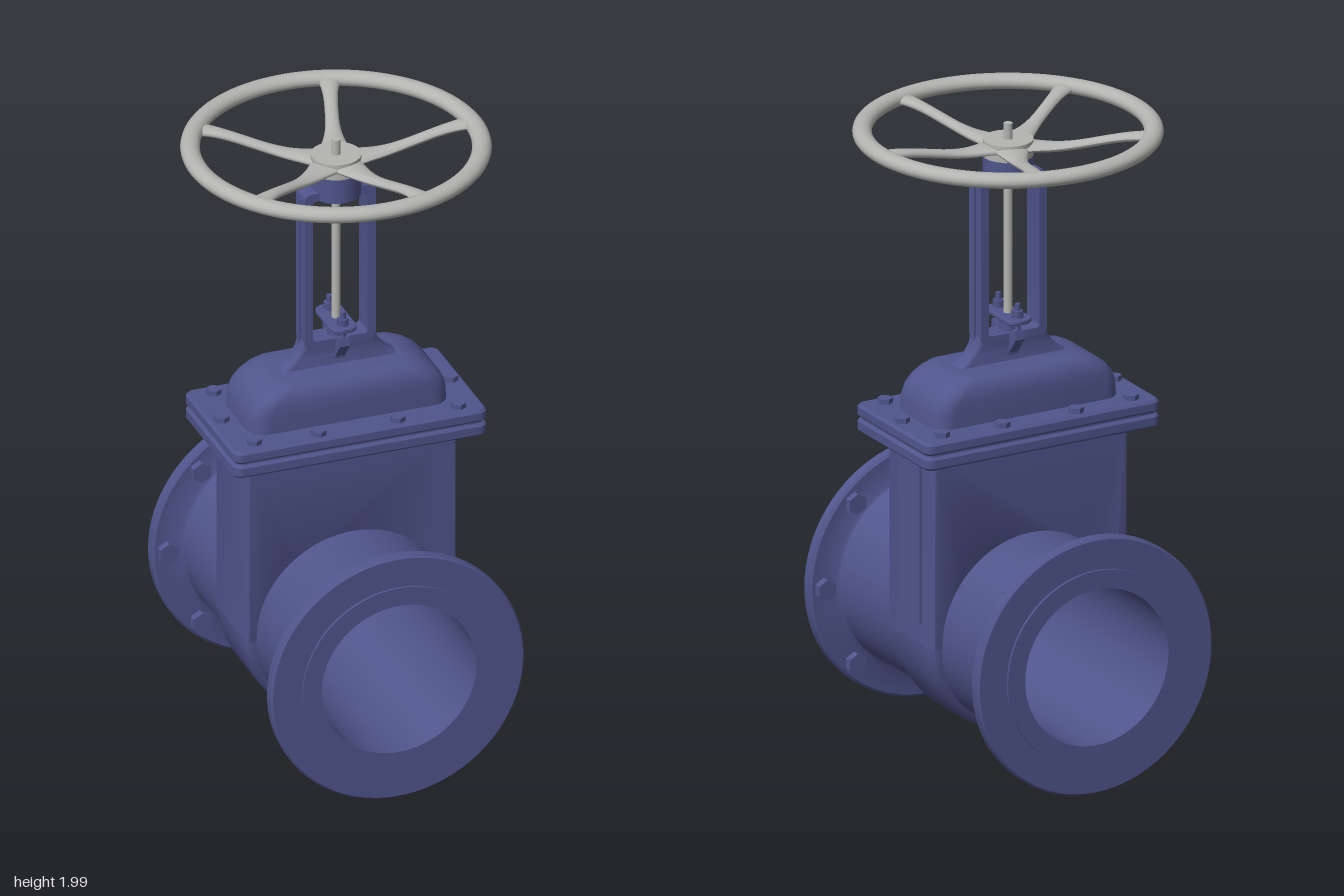
import * as THREE from 'three';
import { toCreasedNormals } from 'three/addons/utils/BufferGeometryUtils.js';

const PIPE_Y = 0.417;

// Rounded-rectangle loft; sections are [y, halfX, halfZ, cornerRadius] from bottom to top
function loft(sections) {
  const pos = [], idx = [], steps = 6, n = 4 * (steps + 1);
  for (const [y, hx, hz, r] of sections) {
    for (let c = 0; c < 4; c++) {
      for (let s = 0; s <= steps; s++) {
        const a = (c + s / steps) * Math.PI / 2;
        const sx = c === 0 || c === 3 ? 1 : -1, sz = c < 2 ? 1 : -1;
        pos.push(sx * (hx - r) + r * Math.cos(a), y, sz * (hz - r) + r * Math.sin(a));
      }
    }
  }
  for (let k = 0; k < sections.length - 1; k++) {
    for (let i = 0; i < n; i++) {
      const a = k * n + i, b = k * n + (i + 1) % n;
      idx.push(a, a + n, b, b, a + n, b + n);
    }
  }
  const top = (sections.length - 1) * n;
  for (let i = 1; i < n - 1; i++) idx.push(0, i, i + 1, top, top + i + 1, top + i);
  const g = new THREE.BufferGeometry();
  g.setAttribute('position', new THREE.Float32BufferAttribute(pos, 3));
  g.setIndex(idx);
  g.computeVertexNormals();
  return toCreasedNormals(g, 0.6);
}

// Flat plate with softened edges
function plate(y0, y1, hx, hz, r, b = 0.008) {
  return loft([[y0, hx - b, hz - b, r - b], [y0 + b, hx, hz, r], [y1 - b, hx, hz, r], [y1, hx - b, hz - b, r - b]]);
}

// Revolved profile of [radius, height] pairs
function lathe(points, segments = 64, start = 0, length = Math.PI * 2) {
  return new THREE.LatheGeometry(points.map(p => new THREE.Vector2(...p)), segments, start, length);
}

function roundedRect(path, x0, y0, x1, y1, r) {
  path.moveTo(x0 + r, y0);
  path.lineTo(x1 - r, y0).quadraticCurveTo(x1, y0, x1, y0 + r);
  path.lineTo(x1, y1 - r).quadraticCurveTo(x1, y1, x1 - r, y1);
  path.lineTo(x0 + r, y1).quadraticCurveTo(x0, y1, x0, y1 - r);
  path.lineTo(x0, y0 + r).quadraticCurveTo(x0, y0, x0 + r, y0);
  return path;
}

export function createModel() {
  const model = new THREE.Group();
  model.name = 'gateValve';
  const blue = new THREE.MeshStandardMaterial({ color: 0x50558c });
  blue.name = 'bluePaint';
  const grey = new THREE.MeshStandardMaterial({ color: 0xb4b4b2 });
  grey.name = 'greyMetal';
  const add = (name, geo, mat = blue, parent = model) => {
    const m = new THREE.Mesh(geo, mat);
    m.name = name;
    parent.add(m);
    return m;
  };
  const cyl = (r, y0, y1, seg = 32) => new THREE.CylinderGeometry(r, r, y1 - y0, seg).translate(0, (y0 + y1) / 2, 0);

  // Pipe with both end flanges, one closed profile turned about z
  const half = [[0.31, 0], [0.31, 0.465], [0.313, 0.477], [0.324, 0.484], [0.402, 0.484], [0.41, 0.491],
    [0.41, 0.52], [0.404, 0.527], [0.31, 0.527], [0.31, 0.535], [0.25, 0.535]];
  const mirrored = half.slice(1).reverse().map(([r, z]) => [r, -z]);
  const profile = [...mirrored, ...half, mirrored[0]];
  add('flangedPipe', toCreasedNormals(lathe(profile, 80).rotateX(Math.PI / 2), 0.6).translate(0, PIPE_Y, 0));

  // Hex bolts behind each pipe flange
  const flangeBolts = new THREE.Group();
  flangeBolts.name = 'flangeBolts';
  model.add(flangeBolts);
  const headGeo = new THREE.CylinderGeometry(0.033, 0.033, 0.026, 6).toNonIndexed().rotateX(Math.PI / 2);
  headGeo.computeVertexNormals();
  for (const side of [1, -1]) {
    for (let i = 0; i < 8; i++) {
      const a = i * Math.PI / 4;
      add('flangeBolt', headGeo, blue, flangeBolts)
        .position.set(0.363 * Math.cos(a), PIPE_Y + 0.363 * Math.sin(a), side * 0.473);
    }
  }

  // Upper body: slab arched over the bore
  const slab = new THREE.Shape();
  slab.moveTo(0.337, 0.4).lineTo(0.337, 1.03).lineTo(-0.337, 1.03).lineTo(-0.337, 0.4).lineTo(-0.28, 0.4);
  slab.lineTo(-0.28, PIPE_Y).absarc(0, PIPE_Y, 0.28, Math.PI, 0, true).lineTo(0.28, 0.4);
  const b = 0.01;
  const upper = new THREE.ExtrudeGeometry(slab, { depth: 0.28 - 2 * b, bevelEnabled: true, bevelSize: b,
    bevelThickness: b, bevelOffset: -b, bevelSegments: 2, curveSegments: 40 }).translate(0, 0, -0.14 + b);
  add('upperBody', toCreasedNormals(upper, 0.6));

  // Lower body: half ring whose thickness tapers towards the bottom
  const ring = [[0.28, -0.14], [0.315, -0.14], [0.329, -0.132], [0.337, -0.115],
    [0.337, 0.115], [0.329, 0.132], [0.315, 0.14], [0.28, 0.14]];
  const lower = lathe(ring, 48, -Math.PI / 2, Math.PI).rotateX(Math.PI / 2);
  const lp = lower.attributes.position;
  for (let i = 0; i < lp.count; i++) lp.setZ(i, lp.getZ(i) * (1 + 0.95 * Math.min(0, lp.getY(i))));
  add('lowerBody', toCreasedNormals(lower, 0.6).translate(0, PIPE_Y, 0));

  // Raised strip on the left side of the body
  add('sideRib', new THREE.BoxGeometry(0.02, 0.555, 0.125).translate(0.335, 0.7475, 0));

  // Body and bonnet flanges with the gasket between
  add('bodyFlange', plate(1.018, 1.06, 0.41, 0.222, 0.03));
  add('gasket', plate(1.055, 1.07, 0.4, 0.212, 0.025, 0.002));
  add('bonnetFlange', plate(1.066, 1.106, 0.41, 0.222, 0.03));

  // Bonnet bolts
  const bonnetBolts = new THREE.Group();
  bonnetBolts.name = 'bonnetBolts';
  model.add(bonnetBolts);
  const capGeo = new THREE.CylinderGeometry(0.024, 0.024, 0.018, 6).toNonIndexed();
  capGeo.computeVertexNormals();
  for (const s of [1, -1]) {
    for (const [x, z] of [[0.33, 0.172], [0.33, -0.172], [0.128, 0.188], [0.128, -0.188], [0.37, 0]]) {
      add('bonnetBolt', capGeo, blue, bonnetBolts).position.set(s * x, 1.113, z);
    }
  }

  // Bonnet dome and the neck that carries the yoke
  add('bonnet', loft([[1.1, 0.323, 0.138, 0.06], [1.155, 0.319, 0.138, 0.06], [1.185, 0.307, 0.138, 0.06],
    [1.21, 0.285, 0.136, 0.06], [1.23, 0.258, 0.128, 0.055], [1.244, 0.23, 0.117, 0.05], [1.25, 0.2, 0.1, 0.04]]));
  add('neck', loft([[1.24, 0.2, 0.036, 0.02], [1.262, 0.168, 0.034, 0.02], [1.285, 0.143, 0.032, 0.02],
    [1.31, 0.126, 0.034, 0.02], [1.338, 0.118, 0.037, 0.02]]));

  // Yoke frame with a slim outer rib on each leg
  const frame = roundedRect(new THREE.Shape(), -0.115, 1.315, 0.115, 1.844, 0.025);
  frame.holes.push(roundedRect(new THREE.Path(), -0.088, 1.338, 0.088, 1.818, 0.012));
  add('yoke', toCreasedNormals(new THREE.ExtrudeGeometry(frame, { depth: 0.074, bevelEnabled: false })
    .translate(0, 0, -0.037), 0.6));
  for (const s of [1, -1]) add('yokeRib', new THREE.BoxGeometry(0.014, 0.49, 0.014).translate(s * 0.115, 1.57, 0));
  add('yokeHead', cyl(0.077, 1.818, 1.898, 40));

  // Gland bracket, plate and studs
  const bracket = new THREE.Shape();
  bracket.moveTo(-0.03, 1.245).lineTo(0.03, 1.245).lineTo(0.035, 1.275).lineTo(0.074, 1.325);
  bracket.lineTo(0.07, 1.352).lineTo(0.05, 1.352).lineTo(0.025, 1.325).lineTo(-0.025, 1.325);
  bracket.lineTo(-0.05, 1.352).lineTo(-0.07, 1.352).lineTo(-0.074, 1.325).lineTo(-0.035, 1.275);
  add('glandBracket', new THREE.ExtrudeGeometry(bracket, { depth: 0.032, bevelEnabled: false })
    .translate(0, 0, -0.016).rotateY(Math.PI / 2));
  add('glandSleeve', cyl(0.028, 1.33, 1.385, 24));
  add('glandPlate', plate(1.377, 1.392, 0.042, 0.09, 0.03, 0.003));
  for (const s of [1, -1]) {
    add('glandStud', cyl(0.009, 1.32, 1.437, 12).translate(0, 0, s * 0.058));
    add('glandNut', cyl(0.018, 1.39, 1.415, 6).translate(0, 0, s * 0.058));
  }

  // Stem
  add('stem', cyl(0.014, 0.655, 2, 24), grey);

  // Handwheel
  const wheel = new THREE.Group();
  wheel.name = 'handwheel';
  model.add(wheel);
  add('rim', new THREE.TorusGeometry(0.441, 0.03, 16, 96).rotateX(Math.PI / 2).scale(1, 0.8, 1)
    .translate(0, 1.974, 0), grey, wheel);
  add('hub', cyl(0.077, 1.897, 1.95, 40), grey, wheel);

  // Dished spokes that flare at hub and rim
  const spoke = new THREE.CylinderGeometry(1, 1, 0.38, 14, 20).rotateZ(-Math.PI / 2).translate(0.24, 0, 0);
  const sp = spoke.attributes.position;
  for (let i = 0; i < sp.count; i++) {
    const x = sp.getX(i);
    const w = 0.021 + 0.035 * (Math.max(0, 0.25 - x) / 0.2) ** 2 + 0.014 * (Math.max(0, x - 0.3) / 0.13) ** 2;
    const y = 1.928 + 0.044 * THREE.MathUtils.smoothstep(x, 0.12, 0.42);
    sp.setXYZ(i, x, y + 0.014 * sp.getY(i), w * sp.getZ(i));
  }
  spoke.computeVertexNormals();
  for (let i = 0; i < 5; i++) add('spoke', spoke, grey, wheel).rotation.y = i * Math.PI * 2 / 5;

  return model;
}
